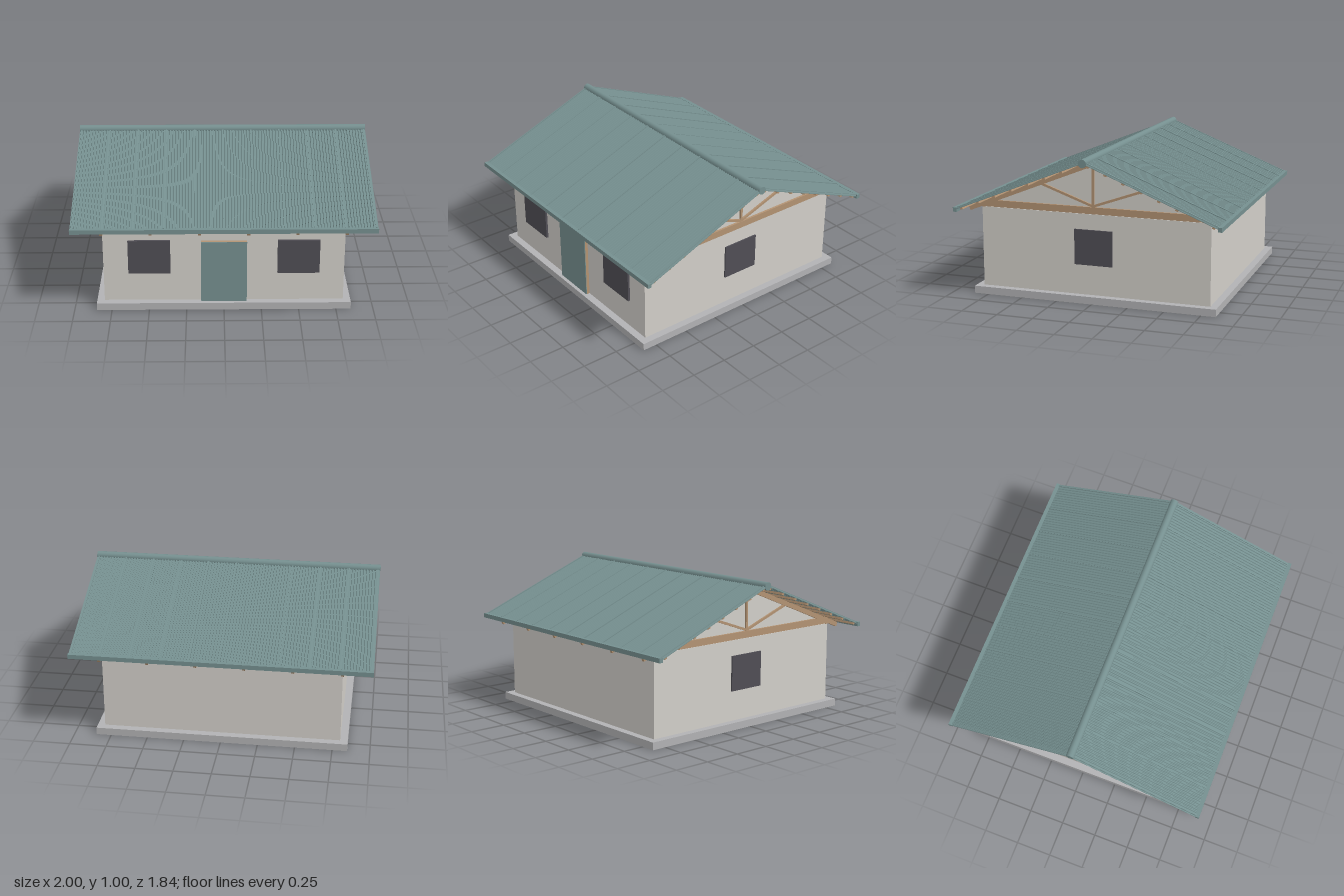
import * as THREE from 'three';

const material = (name, color) => {
  const m = new THREE.MeshStandardMaterial({ color });
  m.name = name;
  return m;
};

export function createModel() {
  const house = new THREE.Group();
  house.name = 'house';

  const wall = material('plaster', 0xd2cfc9);
  const concrete = material('concrete', 0xb2b2b4);
  const teal = material('teal metal', 0x769090);
  const wood = material('timber', 0xb39373);
  const dark = material('dark glass', 0x504e55);

  const add = (parent, name, geometry, mat, x = 0, y = 0, z = 0) => {
    const mesh = new THREE.Mesh(geometry, mat);
    mesh.name = name;
    mesh.position.set(x, y, z);
    parent.add(mesh);
    return mesh;
  };
  const box = (parent, name, mat, w, h, d, x, y, z) =>
    add(parent, name, new THREE.BoxGeometry(w, h, d), mat, x, y, z);

  // Slab and walls
  box(house, 'slab', concrete, 1.7, 0.05, 1.7, 0, 0.025, 0);
  box(house, 'walls', wall, 1.6, 0.55, 1.6, 0, 0.325, 0);

  // Door and windows
  box(house, 'doorFrame', wood, 0.305, 0.44, 0.022, 0, 0.27, 0.81);
  box(house, 'doorPanel', teal, 0.305, 0.44, 0.005, 0, 0.27, 0.8235);
  for (const s of [-1, 1]) {
    box(house, 'frontWindow', dark, 0.28, 0.24, 0.02, s * 0.495, 0.375, 0.805);
    box(house, 'sideWindow', dark, 0.02, 0.24, 0.265, s * 0.8, 0.375, 0);
  }

  // Roof pitch, shared by the sheets, rafters and gables
  const pitch = Math.atan(0.4);
  const apex = 0.983;
  const trussX = [-0.8, -0.48, -0.16, 0.16, 0.48, 0.8];

  // Corrugated sheet section: trapezoid wave with a constant thickness
  const ribs = 100, step = 2 / ribs, thick = 0.004;
  const wave = [];
  for (let i = 0; i < ribs; i++) {
    const x = -1 + i * step;
    wave.push([x, -0.007], [x + step * 0.35, -0.007], [x + step * 0.5, 0], [x + step * 0.85, 0]);
  }
  wave.push([1, -0.007]);
  const section = new THREE.Shape([
    ...wave.map(([x, y]) => new THREE.Vector2(x, y - thick)),
    ...wave.reverse().map(([x, y]) => new THREE.Vector2(x, y)),
  ]);
  const sheet = new THREE.ExtrudeGeometry(section, { depth: 0.968, bevelEnabled: false });

  // Each slope runs down its local +z from the ridge
  for (const back of [false, true]) {
    const side = new THREE.Group();
    side.name = back ? 'backRoof' : 'frontRoof';
    side.rotation.y = back ? Math.PI : 0;
    house.add(side);

    const slope = new THREE.Group();
    slope.name = 'slope';
    slope.position.y = apex;
    slope.rotation.x = pitch;
    side.add(slope);

    add(slope, 'roofSheet', sheet, teal);
    for (let i = -5; i <= 5; i++) {
      const x = i === 0 ? 0 : i * 0.197;
      box(slope, 'sheetSeam', teal, 0.01, 0.006, 0.968, x, 0, 0.484);
    }
    for (let i = 0; i < 8; i++) {
      box(slope, 'purlin', wood, 1.98, 0.014, 0.018, 0, -0.018, 0.04 + i * 0.128);
    }
    for (const x of trussX) {
      box(slope, 'rafter', wood, 0.02, 0.032, 0.975, x, -0.04, 0.4875);
    }

    // Gutter and wall plate
    box(side, 'gutter', teal, 2, 0.03, 0.027, 0, 0.611, 0.907);
    box(side, 'wallPlate', wood, 1.62, 0.02, 0.02, 0, 0.61, 0.785);
  }

  // Truss ties, king posts and diagonal webs
  const web = Math.hypot(0.38, 0.135);
  for (const x of trussX) {
    box(house, 'bottomChord', wood, 0.02, 0.046, 1.58, x, 0.627, 0);
    box(house, 'kingPost', wood, 0.016, 0.3, 0.016, x, 0.79, 0);
    for (const s of [-1, 1]) {
      const strut = box(house, 'diagonalWeb', wood, 0.016, 0.016, web, x, 0.723, s * 0.19);
      strut.rotation.x = -s * Math.atan2(0.135, 0.38);
    }
  }

  // Gable infill panels, just behind the end trusses
  const gableShape = new THREE.Shape([
    new THREE.Vector2(-0.8, 0.6), new THREE.Vector2(0.8, 0.6), new THREE.Vector2(0, 0.93),
  ]);
  const gable = new THREE.ExtrudeGeometry(gableShape, { depth: 0.01, bevelEnabled: false });
  gable.translate(0, 0, -0.005).rotateY(Math.PI / 2);
  for (const s of [-1, 1]) add(house, 'gable', gable, wall, s * 0.79, 0, 0);

  // Ridge cap
  const cap = new THREE.CylinderGeometry(0.028, 0.028, 2, 12).rotateZ(Math.PI / 2);
  add(house, 'ridgeCap', cap, teal, 0, 0.972, 0);

  return house;
}
